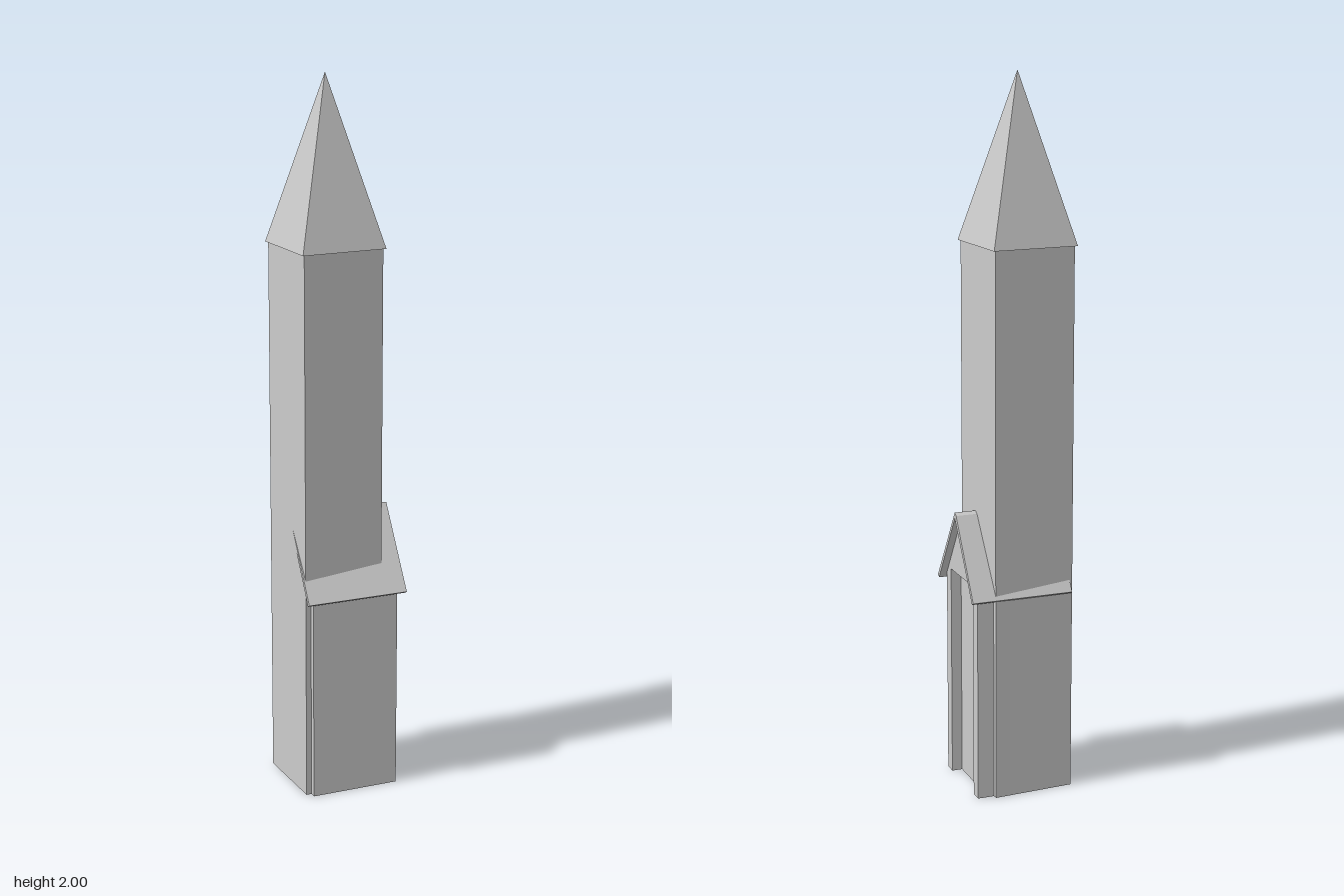
import * as THREE from 'three';

const material = new THREE.MeshStandardMaterial({ color: 0xcccccc, flatShading: true });

function addMesh(parent, name, geometry, x = 0, y = 0, z = 0) {
  const mesh = new THREE.Mesh(geometry, material);
  mesh.name = name;
  mesh.position.set(x, y, z);
  parent.add(mesh);
  return mesh;
}

// Extrudes an outline in the x-y plane from z0 to z1
function prism(points, z0, z1) {
  const shape = new THREE.Shape(points.map(([x, y]) => new THREE.Vector2(x, y)));
  return new THREE.ExtrudeGeometry(shape, { depth: z1 - z0, bevelEnabled: false }).translate(0, 0, z0);
}

export function createModel() {
  const model = new THREE.Group();
  model.name = 'towerWithPorch';

  // Square tower with a slightly overhanging pyramid spire
  const tower = new THREE.Group();
  tower.name = 'tower';
  tower.position.set(-0.03, 0, 0.0185);
  tower.rotation.y = -0.513;
  model.add(tower);
  addMesh(tower, 'towerShaft', new THREE.BoxGeometry(0.232, 1.54, 0.232), 0, 0.77, 0);
  const spire = new THREE.ConeGeometry(0.2445 / Math.SQRT2, 0.46, 4).rotateY(Math.PI / 4);
  addMesh(tower, 'spire', spire, 0, 1.77, 0);

  // Gabled house around the tower foot, with its doorway at the back
  const house = new THREE.Group();
  house.name = 'house';
  house.rotation.y = -0.566;
  model.add(house);

  const w = 0.1235, d = 0.126, eave = 0.592, peak = 0.785;
  const recess = 0.03, doorW = 0.0885, doorH = 0.61;
  const gable = [[w, 0], [w, eave], [0, peak], [-w, eave], [-w, 0]];
  addMesh(house, 'houseBody', prism(gable, -d + recess, d));

  // Pillars and gable framing the recessed doorway
  const frame = [...gable, [-doorW, 0], [-doorW, doorH], [doorW, doorH], [doorW, 0]];
  addMesh(house, 'doorwayFrame', prism(frame, -d, -d + recess));

  // Two thin roof slabs, one lapping over the other at the ridge
  const roof = [
    [0.144, 0.58], [0, 0.8], [-0.011, 0.793], [-0.144, 0.58],
    [-0.134, 0.574], [0, 0.783], [0.134, 0.574],
  ];
  addMesh(house, 'gableRoof', prism(roof, -0.146, 0.146));

  return model;
}
